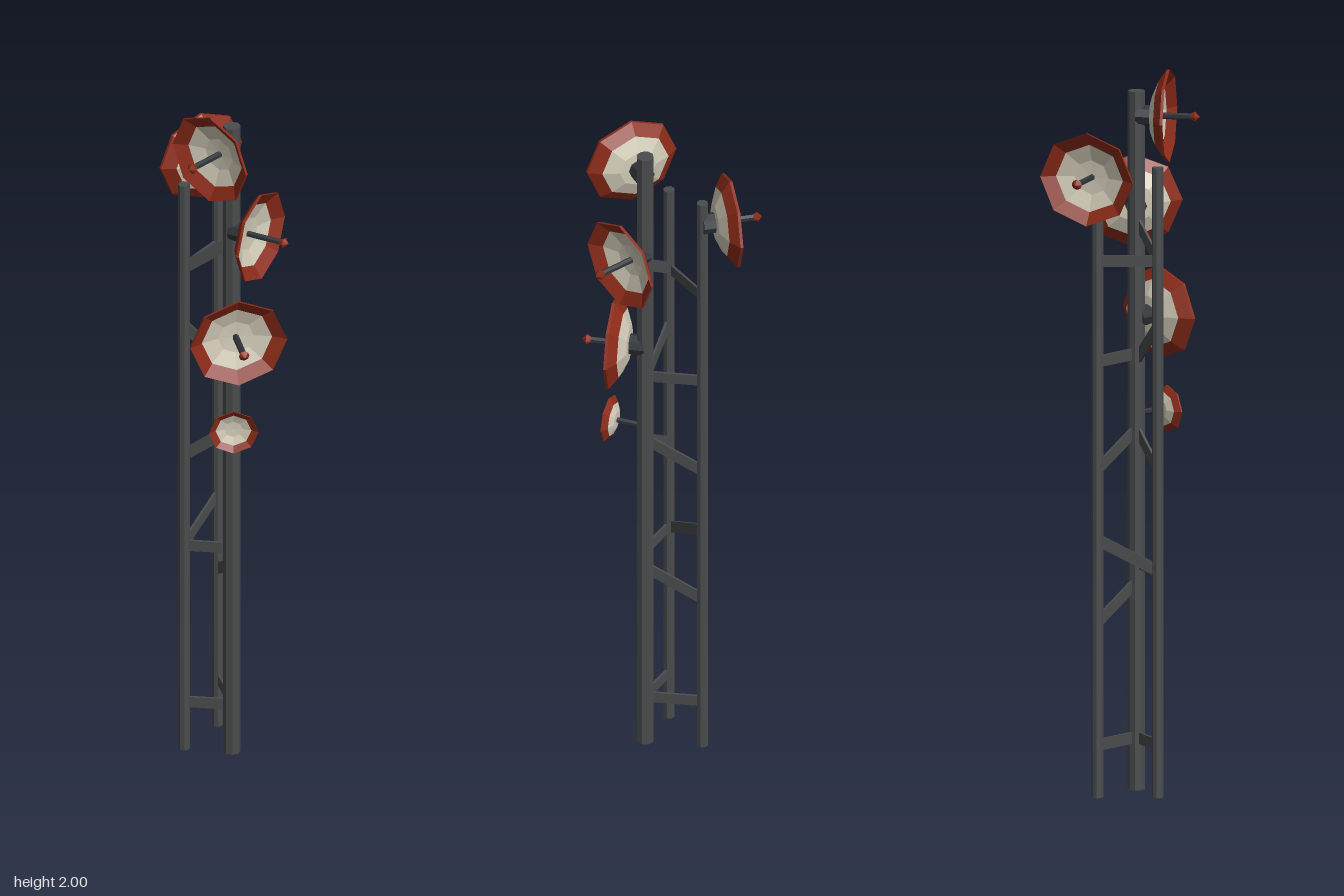
import * as THREE from 'three';

const mat = (color) => new THREE.MeshStandardMaterial({ color, flatShading: true, side: THREE.DoubleSide });
const steel = mat(0x4a4c4d), darkSteel = mat(0x30353a), red = mat(0x8c2b18), cream = mat(0xd2cbb8);

// Pole positions on the ground, radius and height
const poles = {
  main: { x: 0.063, z: 0.025, r: 0.024, h: 1.94 },
  back: { x: -0.068, z: -0.062, r: 0.016, h: 1.8 },
  front: { x: -0.045, z: 0.1, r: 0.016, h: 1.75 },
};

function add(parent, name, geometry, material) {
  const mesh = new THREE.Mesh(geometry, material);
  mesh.name = name;
  parent.add(mesh);
  return mesh;
}

// Cylinder along +z between two distances
function rod(r, from, to, sides) {
  return new THREE.CylinderGeometry(r, r, to - from, sides).rotateX(Math.PI / 2).translate(0, 0, (from + to) / 2);
}

// Eight-sided surface of revolution about +z; points are [radius, z]
function lathe(points) {
  const pts = points.map(([r, z]) => new THREE.Vector2(r, z));
  return new THREE.LatheGeometry(pts, 8).rotateX(Math.PI / 2).scale(1, 0.955, 1);
}

// Flat bar joining two poles, with a height at each end
function brace(a, b, ya, yb) {
  const start = new THREE.Vector3(a.x, ya, a.z), end = new THREE.Vector3(b.x, yb, b.z);
  const bar = new THREE.Mesh(new THREE.BoxGeometry(0.007, 0.032, start.distanceTo(end)), steel);
  bar.position.copy(start).add(end).multiplyScalar(0.5);
  bar.lookAt(end);
  bar.name = 'brace';
  return bar;
}

// Dish aimed along (dx, dz), mounted on a pole at height y
function dish(pole, y, dx, dz, small) {
  const g = new THREE.Group();
  g.name = small ? 'smallDish' : 'dish';
  g.position.set(pole.x, y, pole.z);
  g.rotation.y = Math.atan2(dx, dz);
  const k = small ? 0.5 : 1;
  const base = pole.r + (small ? 0.056 : 0.016); // back of the bowl

  const bowl = add(g, 'bowl', lathe([[0, 0], [0.055, 0.003], [0.1, 0.021], [0.098, 0.028], [0.05, 0.012], [0, 0.009]]), cream);
  const rim = add(g, 'rim', lathe([[0.1, 0.021], [0.135, 0.044], [0.135, 0.052], [0.098, 0.028]]), red);
  for (const part of [bowl, rim]) {
    part.scale.setScalar(k);
    part.position.z = base;
  }
  if (small) {
    add(g, 'mountArm', rod(0.008, 0, base + 0.002, 6), darkSteel);
    return g;
  }
  // Mount, feed arm and pointed feed
  add(g, 'mount', rod(0.029, 0, base + 0.002, 8), darkSteel);
  add(g, 'feedArm', rod(0.009, base, pole.r + 0.138, 6), darkSteel);
  const feed = lathe([[0, 0], [0.009, 0], [0.015, 0.012], [0, 0.025]]);
  add(g, 'feed', feed, red).position.z = pole.r + 0.126;
  return g;
}

export function createModel() {
  const model = new THREE.Group();
  model.name = 'antennaTower';
  const { main, back, front } = poles;

  for (const [name, p] of Object.entries(poles)) {
    add(model, name + 'Pole', new THREE.CylinderGeometry(p.r, p.r, p.h, 8), steel).position.set(p.x, p.h / 2, p.z);
  }

  // Braces on the three sides of the mast
  const sides = [
    [front, main, [[0.145, 0.145], [0.63, 0.63], [0.91, 1.0], [1.31, 1.19], [1.49, 1.58]]],
    [main, back, [[0.145, 0.145], [0.575, 0.485], [1.0, 0.91], [1.21, 1.21]]],
    [front, back, [[0.63, 0.715], [1.49, 1.49]]],
  ];
  for (const [a, b, heights] of sides) {
    for (const [ya, yb] of heights) model.add(brace(a, b, ya, yb));
  }

  // Dishes
  model.add(
    dish(main, 1.872, 0, 1),
    dish(back, 1.73, -0.975, -0.22),
    dish(main, 1.618, 0.97, -0.245),
    dish(main, 1.312, 0.81, 0.585),
    dish(main, 1.045, 0.707, 0.707, true),
  );
  return model;
}
